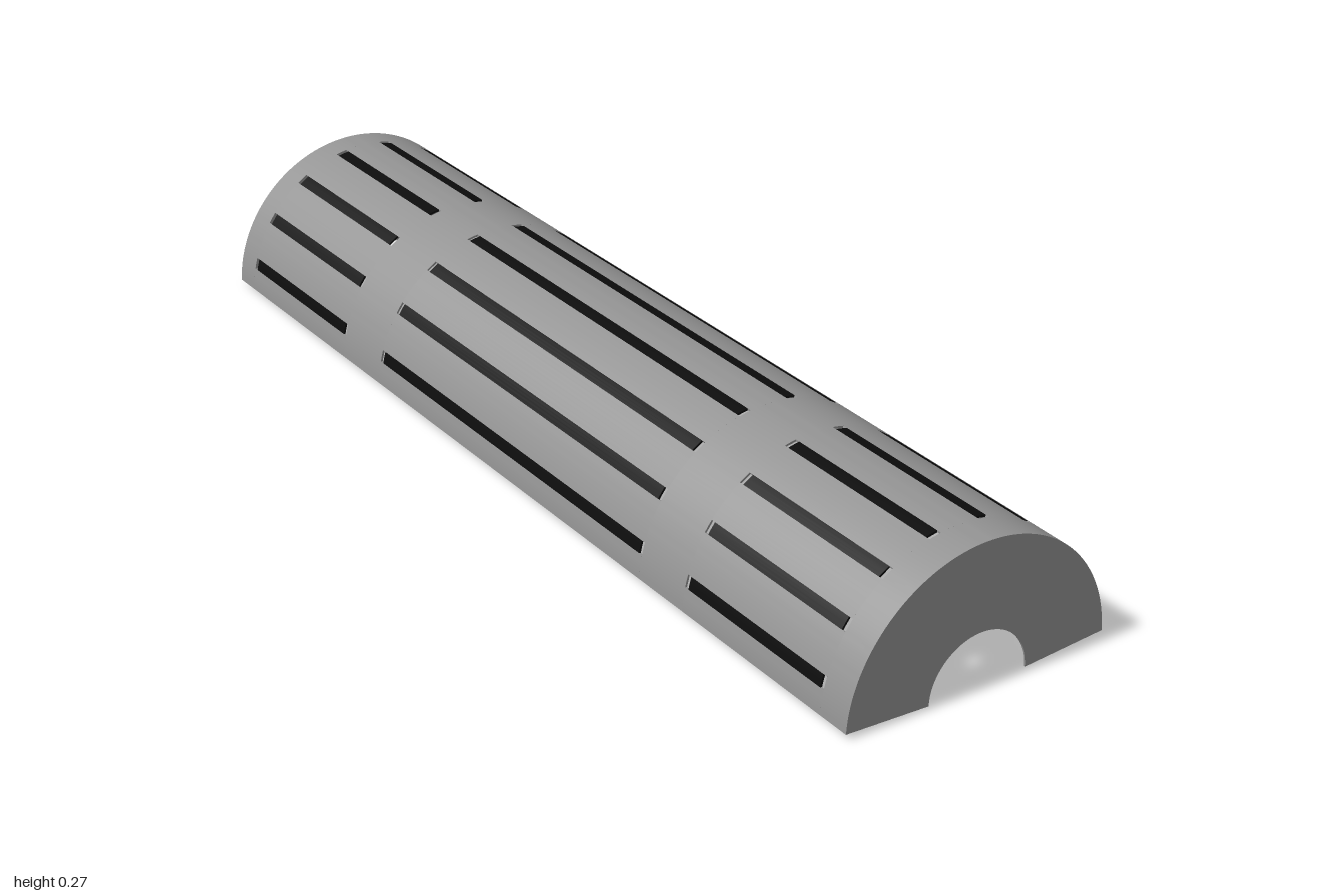
import * as THREE from 'three';
import { toCreasedNormals } from 'three/addons/utils/BufferGeometryUtils.js';

const R = 0.267;          // outer radius
const WALL = 0.004;       // shell thickness
const START = 2.2;        // angle of the lower rim, degrees
const HALF_SLOT = 2.5;    // half the angular width of a slot
const rad = THREE.MathUtils.degToRad;

const grey = new THREE.MeshStandardMaterial({ color: 0x959595, side: THREE.DoubleSide });
const dark = new THREE.MeshStandardMaterial({ color: 0x0c0c0c, side: THREE.DoubleSide });

// Ring sector between two angles, extruded from z0 to z1
function sector(name, material, rIn, rOut, a0, a1, z0, z1, inner0 = a0, inner1 = a1) {
  const shape = new THREE.Shape();
  shape.absarc(0, 0, rOut, rad(a0), rad(a1), false);
  shape.absarc(0, 0, rIn, rad(inner1), rad(inner0), true);
  shape.closePath();
  const curveSegments = Math.max(2, Math.ceil((a1 - a0) / 4));
  const geo = new THREE.ExtrudeGeometry(shape, { depth: z1 - z0, bevelEnabled: false, curveSegments });
  geo.translate(0, 0, z0);
  const mesh = new THREE.Mesh(toCreasedNormals(geo, 0.5), material);
  mesh.name = name;
  return mesh;
}

export function createModel() {
  const model = new THREE.Group();
  model.name = 'ventedHalfTube';

  const slotAngles = Array.from({ length: 8 }, (_, i) => 14.4 + i * 21.6);
  const rows = [[-0.945, -0.57], [-0.435, 0.44], [0.565, 0.935]];
  const end = 180 - START;

  // Plain bands of the shell before, between and after the slot rows
  const bands = [-1, ...rows.flat(), 1];
  for (let i = 0; i < bands.length; i += 2) {
    model.add(sector('shellBand', grey, R - WALL, R, START, end, bands[i], bands[i + 1]));
  }

  for (const [z0, z1] of rows) {
    // Ribs of the shell left standing between the slots
    const edges = [START, ...slotAngles.flatMap(a => [a - HALF_SLOT, a + HALF_SLOT]), end];
    for (let i = 0; i < edges.length; i += 2) {
      model.add(sector('shellRib', grey, R - WALL, R, edges[i], edges[i + 1], z0, z1));
    }
    // Dark strips flush with the shell, a little shorter than their slots
    for (const a of slotAngles) {
      model.add(sector('slotStrip', dark, R - WALL, R,
        a - HALF_SLOT, a + HALF_SLOT, z0 + 0.009, z1 - 0.009));
    }
  }

  // End plates with a half-round notch
  for (const [name, z] of [['frontEndPlate', 0.996], ['backEndPlate', -1]]) {
    model.add(sector(name, grey, 0.101, R, START, end, z, z + 0.004, 0, 180));
  }
  return model;
}
